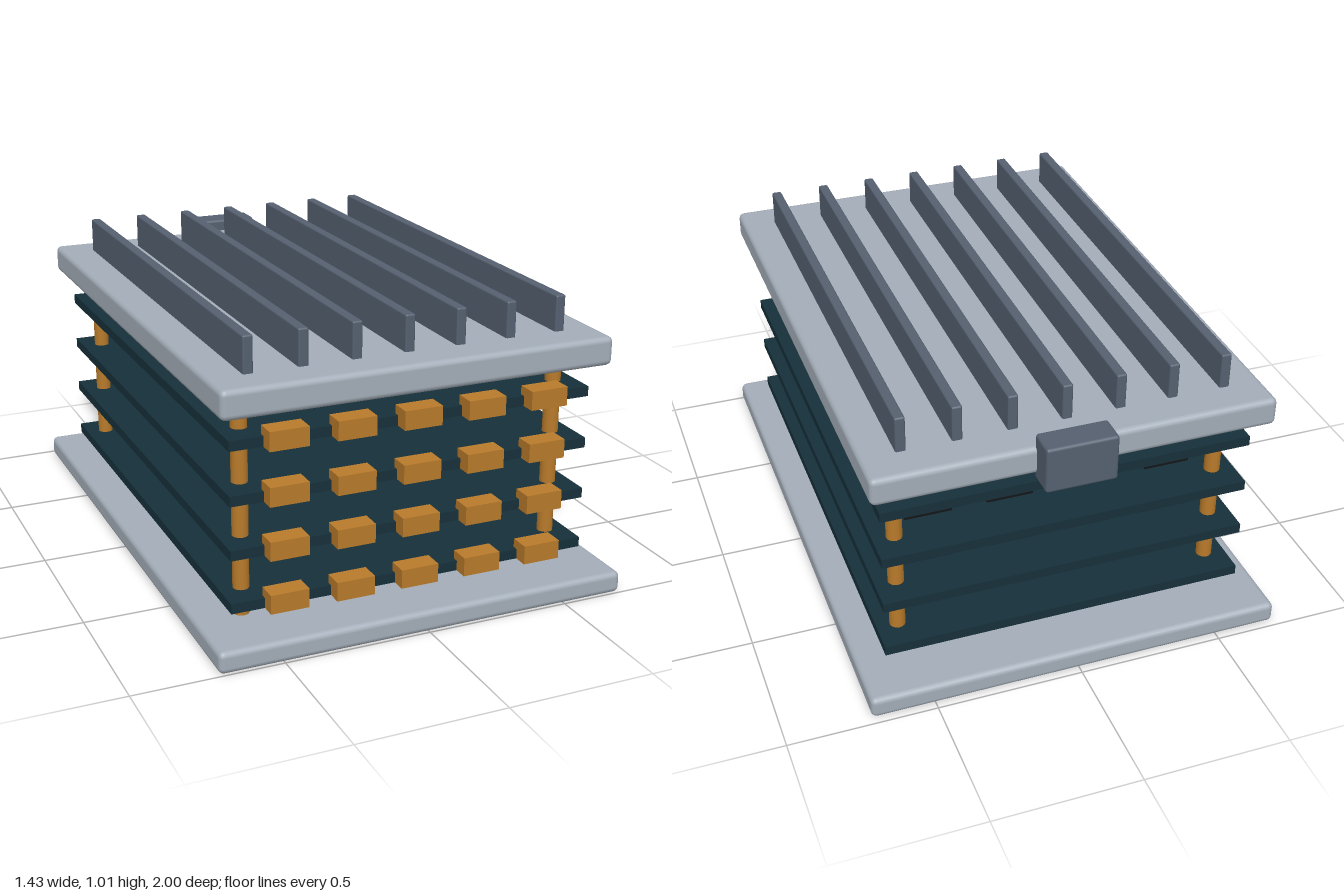
import * as THREE from 'three';
import { RoundedBoxGeometry } from 'three/addons/geometries/RoundedBoxGeometry.js';

const mat = (color) => new THREE.MeshStandardMaterial({ color });

export function createModel() {
  const model = new THREE.Group();
  model.name = 'circuitBoardStack';
  const shell = mat(0xa3adb8), steel = mat(0x556070), brass = mat(0xb87a2a);
  const boardMat = mat(0x16303a), chipMat = mat(0x131518), capMat = mat(0x2a303a);

  const add = (parent, name, geometry, material, x, y, z) => {
    const mesh = new THREE.Mesh(geometry, material);
    mesh.name = name;
    mesh.position.set(x, y, z);
    parent.add(mesh);
    return mesh;
  };
  const box = (w, h, d) => new THREE.BoxGeometry(w, h, d);
  const rounded = (w, h, d, r) => new RoundedBoxGeometry(w, h, d, 2, r);

  // Base plate and lid
  add(model, 'basePlate', rounded(1.43, 0.075, 1.98, 0.02), shell, 0, 0.0375, 0.01);
  add(model, 'lid', rounded(1.344, 0.098, 1.855, 0.02), shell, 0, 0.838, 0.0075);

  // Cooling fins
  const finGeo = rounded(0.034, 0.138, 1.615, 0.006);
  for (let i = -3; i <= 3; i++) add(model, 'coolingFin', finGeo, steel, i * 0.18, 0.939, 0.0075);

  // Rear connector block, slightly off centre
  add(model, 'rearConnector', rounded(0.237, 0.16, 0.1, 0.01), steel, 0.028, 0.85, -0.95);

  // Corner posts
  const postGeo = new THREE.CylinderGeometry(0.027, 0.027, 0.74, 16);
  for (const x of [-0.555, 0.555])
    for (const z of [-0.74, 0.765]) add(model, 'post', postGeo, brass, x, 0.43, z);

  // Shared geometry of the circuit boards
  const boardGeo = box(1.254, 0.034, 1.715);
  const terminalGeo = box(0.13, 0.064, 0.07);
  const processorGeo = box(0.212, 0.046, 0.222);
  const capGeo = box(0.146, 0.008, 0.15);
  const memoryGeo = box(0.16, 0.032, 0.084);
  const traceGeo = box(0.02, 0.005, 0.3);

  for (let level = 0; level < 4; level++) {
    const board = new THREE.Group();
    board.name = 'circuitBoard';
    board.position.y = 0.13 + level * 0.18;
    model.add(board);
    add(board, 'boardPanel', boardGeo, boardMat, 0, 0.017, 0.0125);

    // Terminals along the front edge
    for (let i = -2; i <= 2; i++) add(board, 'terminal', terminalGeo, brass, i * 0.225, 0.032, 0.885);

    // Capped processors
    for (let i = -1; i <= 1; i++) {
      const x = -0.01 + i * 0.335;
      add(board, 'processor', processorGeo, chipMat, x, 0.057, 0.148);
      add(board, 'processorCap', capGeo, capMat, x, 0.084, 0.148);
    }

    // Two rows of memory chips at the back
    for (const z of [-0.47, -0.632])
      for (let i = 0; i < 4; i++) add(board, 'memoryChip', memoryGeo, chipMat, -0.42 + i * 0.28, 0.05, z);

    // Thin conductor strips
    for (let i = 0; i < 5; i++) add(board, 'trace', traceGeo, brass, -0.46 + i * 0.12, 0.0355, -0.13);
  }
  return model;
}
